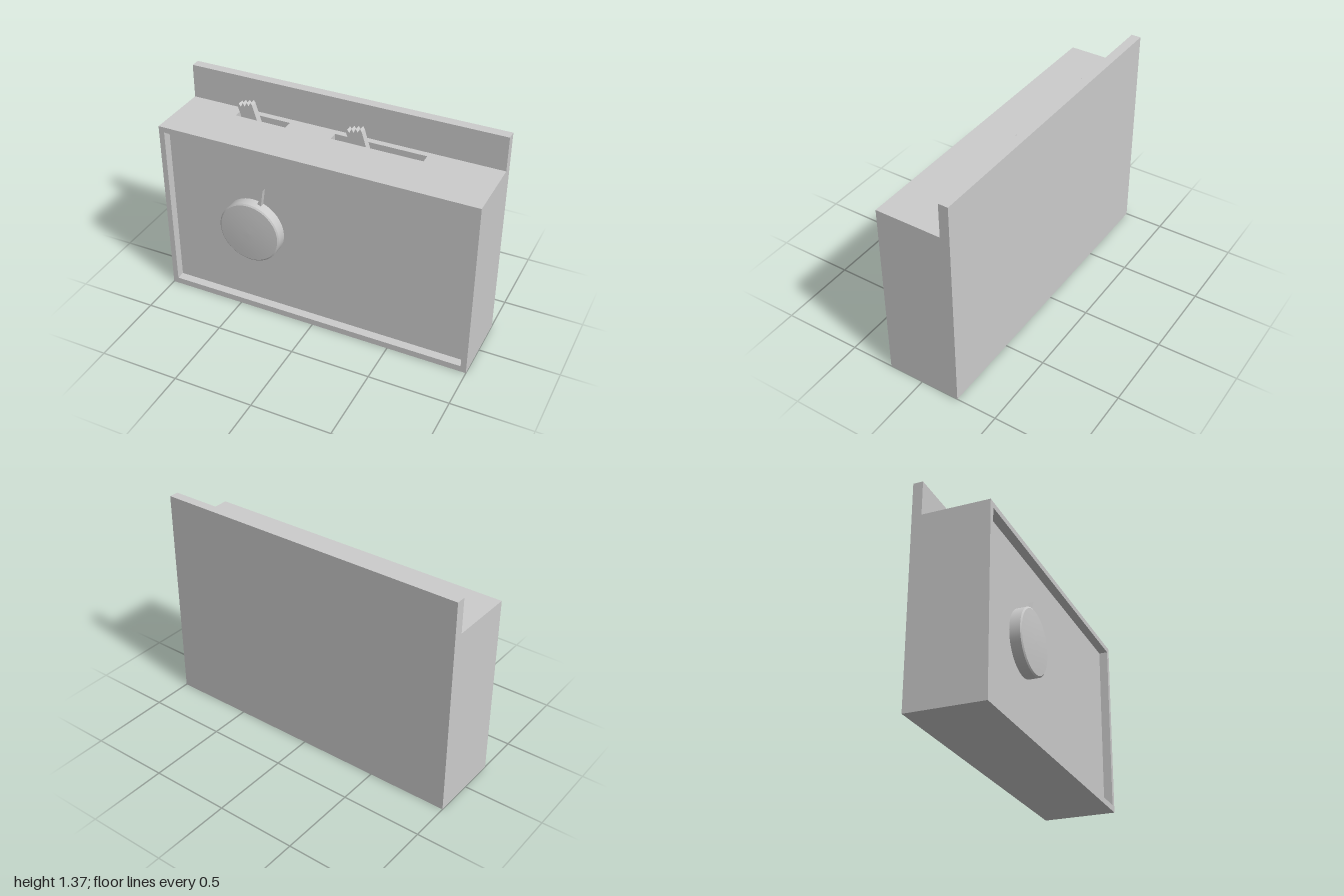
import * as THREE from 'three';

const material = new THREE.MeshStandardMaterial({ color: 0xcccccc });

function addMesh(parent, name, geometry) {
  const mesh = new THREE.Mesh(geometry, material);
  mesh.name = name;
  parent.add(mesh);
  return mesh;
}

// Box given by its low and high corners
function addBox(parent, name, [x0, y0, z0], [x1, y1, z1]) {
  const mesh = addMesh(parent, name, new THREE.BoxGeometry(x1 - x0, y1 - y0, z1 - z0));
  mesh.position.set((x0 + x1) / 2, (y0 + y1) / 2, (z0 + z1) / 2);
  return mesh;
}

const points = (list) => list.map(([x, y]) => new THREE.Vector2(x, y));
const rect = (x0, y0, x1, y1) => points([[x0, y0], [x1, y0], [x1, y1], [x0, y1]]);

// Flat outline with holes, extruded along +z from z = 0
function plate(outline, holes, depth) {
  const shape = new THREE.Shape(outline);
  holes.forEach((hole) => shape.holes.push(new THREE.Path(hole)));
  return new THREE.ExtrudeGeometry(shape, { depth, bevelEnabled: false });
}

export function createModel() {
  const model = new THREE.Group();
  model.name = 'cameraBody';

  const back = -0.245, step = -0.185, floor = 0.17, front = 0.225;
  const top = 1.155, slotFloor = 1.04;

  // Tall back panel and the solid core below the slots
  addBox(model, 'backPanel', [-1, 0, back], [1, 1.37, step]);
  addBox(model, 'core', [-1, 0, step], [1, slotFloor, floor]);

  // Top deck with two slots; shape y becomes -z once laid flat
  const slots = [[-0.655, -0.32], [-0.025, 0.55]];
  const deck = addMesh(model, 'topDeck', plate(
    rect(-1, -floor, 1, -step),
    slots.map(([x0, x1]) => rect(x0, 0.085, x1, 0.145)),
    top - slotFloor
  ));
  deck.rotation.x = -Math.PI / 2;
  deck.position.y = slotFloor;

  // Raised frame around the recessed front face
  const frame = addMesh(model, 'frontFrame', plate(
    rect(-1, 0, 1, top), [rect(-0.965, 0.04, 0.965, 1.12)], front - floor
  ));
  frame.position.z = floor;

  // Slanted levers with serrated tops, standing in the slots
  const lever = points([
    [-0.58, slotFloor], [-0.48, slotFloor], [-0.543, 1.243],
    [-0.553, 1.26], [-0.568, 1.234], [-0.58, 1.253], [-0.594, 1.226],
    [-0.607, 1.247], [-0.62, 1.218], [-0.634, 1.237], [-0.645, 1.226]
  ]);
  [0, 0.71].forEach((x, i) => {
    const mesh = addMesh(model, `lever${i + 1}`, plate(lever, [], 0.042));
    mesh.position.set(x, 0, -0.134);
  });

  // Round dial with a slightly domed face, built in creased sections
  const dial = new THREE.Group();
  dial.name = 'dial';
  dial.position.set(-0.41, 0.575, 0);
  model.add(dial);
  const sections = {
    dialSide: [[0.2, floor], [0.2, 0.233]],
    dialBevel: [[0.2, 0.233], [0.191, 0.24]],
    dialFace: [[0.191, 0.24], [0.13, 0.2445], [0.065, 0.2472], [0, 0.248]]
  };
  for (const [name, profile] of Object.entries(sections)) {
    const mesh = addMesh(dial, name, new THREE.LatheGeometry(points(profile), 48));
    mesh.rotation.x = Math.PI / 2;
  }

  // Thin tapering pointer beside the dial
  const pointer = addMesh(model, 'pointer', plate(
    points([[-0.375, 0.75], [-0.345, 0.75], [-0.328, 0.873]]), [], 0.03
  ));
  pointer.position.z = floor;

  return model;
}
